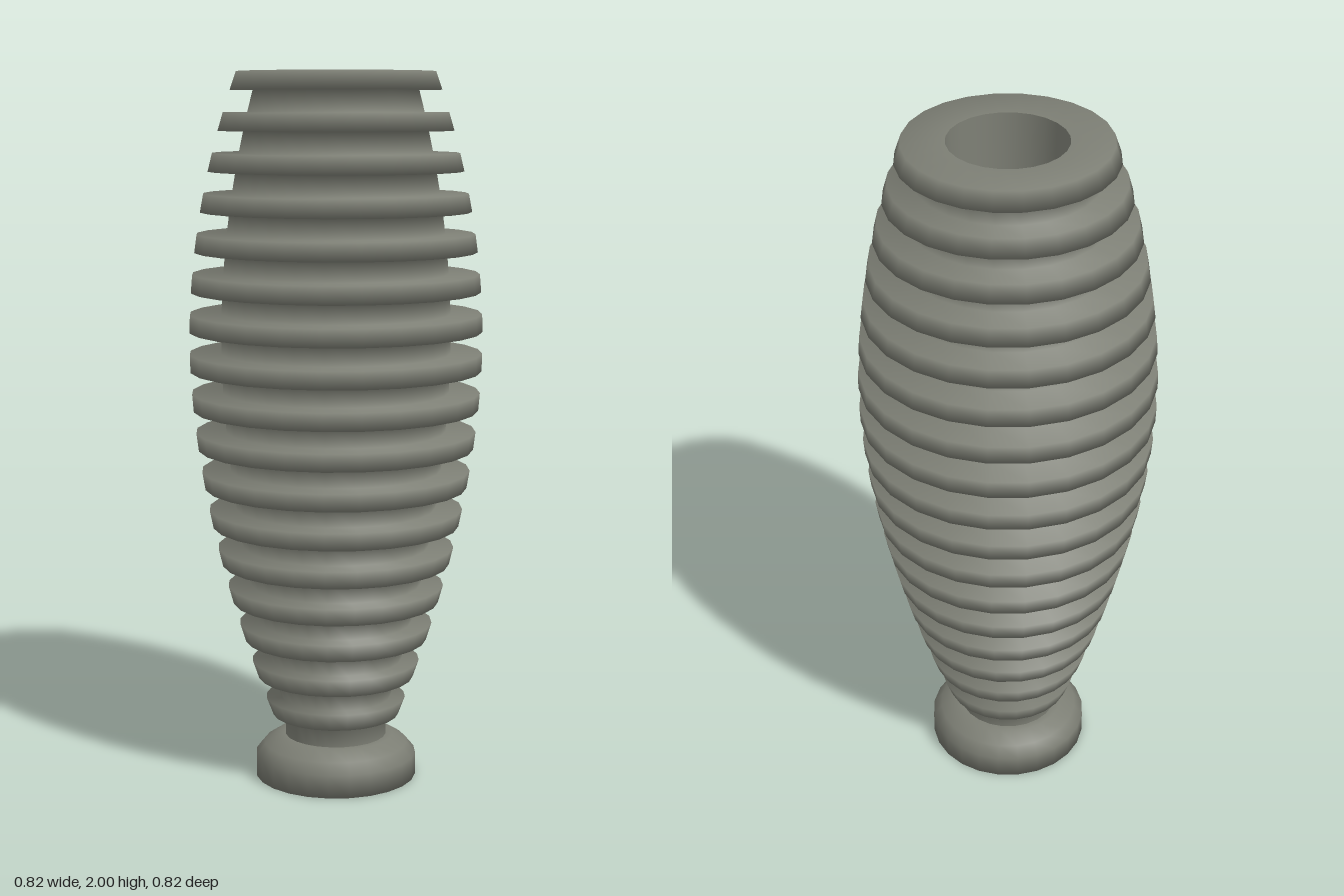
import * as THREE from 'three';

const SEGMENTS = 24;
const FINS = 17;
const PITCH = 0.1106;
const FIN_HEIGHT = 0.05;
const FIRST_FIN = 2 - FIN_HEIGHT - (FINS - 1) * PITCH;

const material = new THREE.MeshStandardMaterial({ color: 0x7c7e74 });

// Barrel-shaped envelope that the fin rims follow
const finRadius = (y) => 0.41 - (y > 1.25 ? 0.24 * (y - 1.25) ** 2 : 0.203 * (1.25 - y) ** 1.8);
const coreRadius = (y) => finRadius(y) * 0.785;

function turned(name, profile) {
  const points = profile.map(([r, y]) => new THREE.Vector2(r, y));
  const mesh = new THREE.Mesh(new THREE.LatheGeometry(points, SEGMENTS), material);
  mesh.name = name;
  return mesh;
}

export function createModel() {
  const group = new THREE.Group();
  group.name = 'ribbedGrip';

  // Flat-bottomed foot with a chamfered shoulder
  group.add(turned('foot', [
    [0, 0], [0.23, 0], [0.23, 0.065], [0.205, 0.095], [0.165, 0.12], [0.14, 0.12],
  ]));

  // Neck, then a core stepped out into evenly spaced fins
  const body = [[0.145, 0.115], [0.145, FIRST_FIN]];
  for (let i = 0; i < FINS; i++) {
    const low = FIRST_FIN + i * PITCH;
    const high = low + FIN_HEIGHT;
    if (i > 0) body.push([coreRadius(low), low]);
    body.push([finRadius(low), low], [finRadius(high), high]);
    if (i < FINS - 1) body.push([coreRadius(high), high]);
  }
  body.push([0.16, 2]);
  group.add(turned('finnedBody', body));

  // Tapered bore, closed by a floor
  group.add(turned('bore', [[0.16, 2], [0.1, 0.15]]));
  group.add(turned('boreFloor', [[0.1, 0.15], [0, 0.15]]));

  return group;
}
